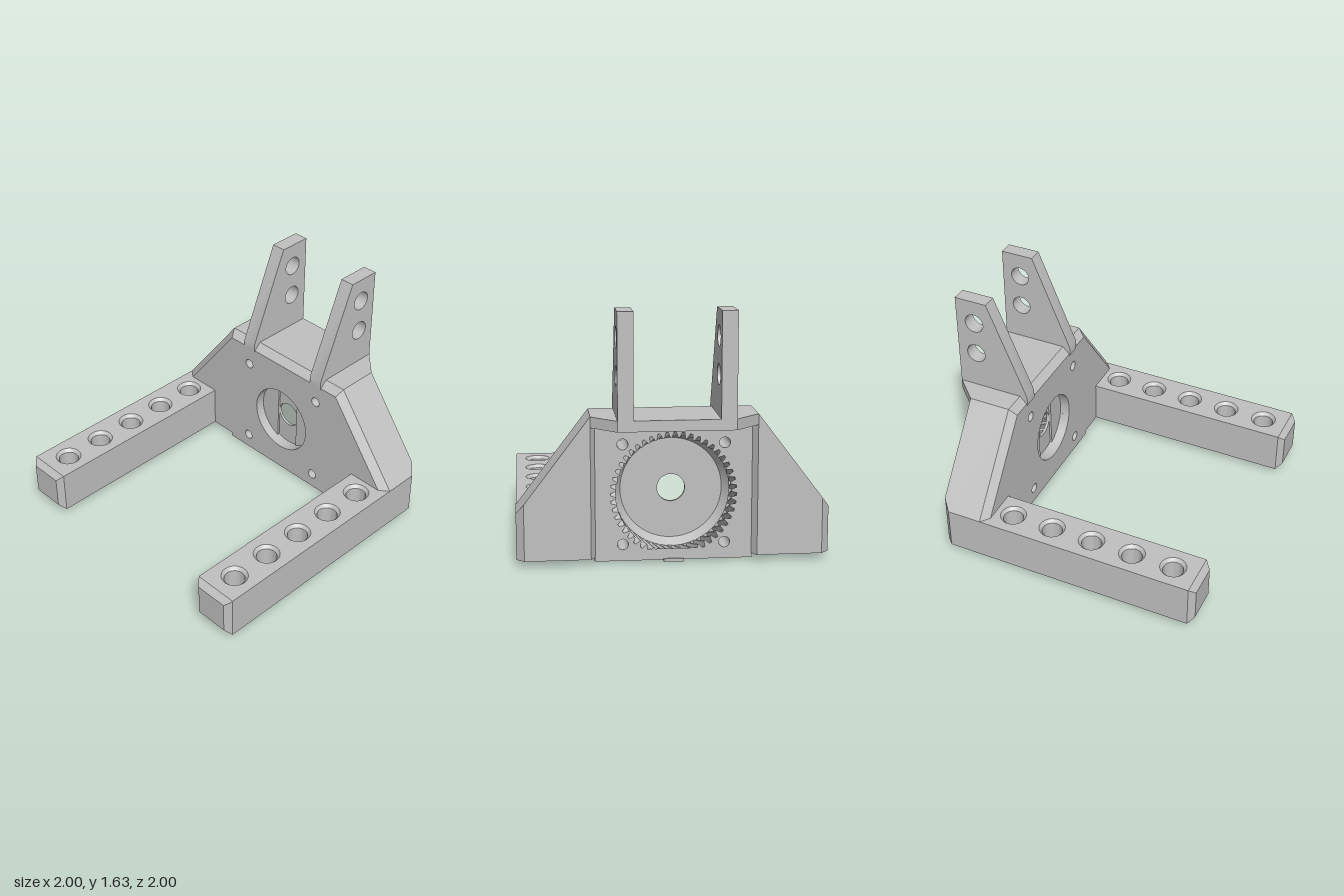
import * as THREE from 'three';
import { toCreasedNormals } from 'three/addons/utils/BufferGeometryUtils.js';
import { ConvexGeometry } from 'three/addons/geometries/ConvexGeometry.js';

const grey = new THREE.MeshStandardMaterial({ color: 0xc0c0c0, side: THREE.DoubleSide });
grey.name = 'grey plastic';

const HUB_Y = 0.44;          // height of the gear axis
const BACK = -0.79;          // recessed rear panel
const FACE = -0.5;           // front face of the plate

function part(parent, name, geometry) {
  const mesh = new THREE.Mesh(geometry, grey);
  mesh.name = name;
  parent.add(mesh);
  return mesh;
}

const poly = (pts) => new THREE.Shape(pts.map(([x, y]) => new THREE.Vector2(x, y)));

function circle(x, y, r, Type = THREE.Path) {
  const p = new Type();
  p.absarc(x, y, r, 0, Math.PI * 2, false);
  return p;
}

function extrude(shape, depth, steps = 1) {
  return new THREE.ExtrudeGeometry(shape, { depth, steps, bevelEnabled: false, curveSegments: 24 });
}

function lathe(profile, segments = 64) {
  const geo = new THREE.LatheGeometry(profile.map(([r, h]) => new THREE.Vector2(r, h)), segments);
  return toCreasedNormals(geo, 0.4);
}

function box(parent, name, x0, x1, y0, y1, z0, z1) {
  const geo = new THREE.BoxGeometry(x1 - x0, y1 - y0, z1 - z0);
  geo.translate((x0 + x1) / 2, (y0 + y1) / 2, (z0 + z1) / 2);
  return part(parent, name, geo);
}

const hull = (pts) => new ConvexGeometry(pts.map((p) => new THREE.Vector3(...p)));

// Trapezoid outlines, listed from lower right to lower left
const mirrorOutline = (half) => [...half, ...half.slice().reverse().map(([x, y]) => [-x, y])];
const outer = mirrorOutline([[1, 0.04], [1, 0.34], [0.53, 0.96]]);
const inner = mirrorOutline([[0.937, 0.04], [0.937, 0.34], [0.505, 0.91]]);

function plateShape(outline, holeRadius) {
  const shape = poly(outline);
  shape.holes.push(circle(0, HUB_Y, holeRadius));
  for (const x of [-0.325, 0.325])
    for (const y of [0.12, 0.77]) shape.holes.push(circle(x, y, 0.035));
  return shape;
}

function buildPlate(g) {
  const core = extrude(plateShape(outer, 0.41), -0.55 - BACK);
  core.translate(0, 0, BACK);
  part(g, 'plate', toCreasedNormals(core, 0.5));

  const front = extrude(plateShape(inner, 0.245), FACE + 0.55);
  front.translate(0, 0, -0.55);
  part(g, 'plateFront', toCreasedNormals(front, 0.5));

  // Sloping bevel round the front edge
  const pos = [];
  for (let i = 0; i < outer.length - 1; i++) {
    const a = [...outer[i], -0.55], b = [...outer[i + 1], -0.55];
    const c = [...inner[i + 1], FACE], d = [...inner[i], FACE];
    pos.push(...a, ...b, ...c, ...a, ...c, ...d);
  }
  const bevel = new THREE.BufferGeometry();
  bevel.setAttribute('position', new THREE.Float32BufferAttribute(pos, 3));
  bevel.computeVertexNormals();
  part(g, 'frontBevel', bevel);

  // Raised rear wings either side of the gear panel
  for (const s of [1, -1]) {
    part(g, s > 0 ? 'leftWing' : 'rightWing', hull([
      [0.5, 0.04, BACK], [1, 0.04, BACK], [1, 0.34, BACK], [0.53, 0.96, BACK], [0.5, 0.96, BACK],
      [0.53, 0.04, -0.84], [0.95, 0.04, -0.84], [0.95, 0.406, -0.84], [0.53, 0.96, -0.84],
    ].map(([x, y, z]) => [s * x, y, z])));
  }

  // Overhanging ledge at the top of the back
  const ledge = extrude(poly([[-0.53, -BACK], [0.53, -BACK], [0.53, 0.84], [0.37, 1], [-0.37, 1], [-0.53, 0.84]]), 0.07);
  ledge.rotateX(-Math.PI / 2);
  ledge.translate(0, 0.89, 0);
  part(g, 'rearLedge', ledge);

  box(g, 'basePad', -0.505, 0.505, 0.012, 0.045, BACK, FACE);
  box(g, 'baseTab', -0.065, 0.065, 0, 0.02, -0.8, -0.67);
}

function buildHub(g) {
  // Ring of internal helical teeth
  const teeth = 48, tip = 0.368, root = 0.403;
  const ring = circle(0, 0, 0.41, THREE.Shape);
  const pts = [];
  for (let i = 0; i < teeth; i++)
    for (const [f, r] of [[0, root], [0.3, root], [0.55, tip], [0.75, tip]]) {
      const a = ((i + f) / teeth) * Math.PI * 2;
      pts.push(new THREE.Vector2(r * Math.cos(a), r * Math.sin(a)));
    }
  ring.holes.push(new THREE.Path(pts));
  const depth = 0.12;
  const gear = extrude(ring, depth, 4);
  const p = gear.attributes.position;
  for (let i = 0; i < p.count; i++) {
    const t = 0.16 * (p.getZ(i) / depth), x = p.getX(i), y = p.getY(i);
    p.setXY(i, x * Math.cos(t) - y * Math.sin(t), x * Math.sin(t) + y * Math.cos(t));
  }
  gear.computeVertexNormals();
  gear.translate(0, HUB_Y, BACK);
  part(g, 'gearRing', gear);

  // Gear cavity, bore and front counterbore turned as one profile
  const bore = lathe([[0.41, -0.67], [0.37, -0.67], [0.33, -0.605], [0.09, -0.605],
    [0.09, -0.585], [0.245, -0.585], [0.245, -0.55]]);
  bore.rotateX(Math.PI / 2);
  bore.translate(0, HUB_Y, 0);
  part(g, 'hubBore', bore);

  // Steps either side of a shallow slot in the counterbore floor
  const a = Math.acos(0.09 / 0.245);
  for (const turn of [0, Math.PI]) {
    const segment = new THREE.Shape();
    segment.absarc(0, 0, 0.245, turn - a, turn + a, false);
    const step = extrude(segment, 0.015);
    step.translate(0, HUB_Y, -0.585);
    part(g, 'counterboreStep', step);
  }
}

function buildArm(g, side) {
  const arm = new THREE.Group();
  arm.name = side > 0 ? 'leftArm' : 'rightArm';
  arm.position.set(side * 0.845, 0.04, 0);
  g.add(arm);
  const w = 0.155, h = 0.3, c = 0.04;
  const holes = [-0.375, -0.083, 0.208, 0.5, 0.792];
  const shape = poly([[-w, -0.96], [w, -0.96], [w, 0.6], [-w, 0.6]]);
  for (const z of holes) shape.holes.push(circle(0, -z, 0.088));
  const beam = extrude(shape, h);
  beam.rotateX(-Math.PI / 2);
  part(arm, 'beam', toCreasedNormals(beam, 0.5));

  // Countersunk hole liners
  for (const z of holes)
    part(arm, 'holeLiner', lathe([[0.088, 0], [0.068, 0.022], [0.068, h - 0.022], [0.088, h]], 48)).position.z = z;

  // Bevelled end
  const end = [];
  for (const s of [-1, 1])
    for (const [y, yc] of [[0, c], [h, h - c]]) end.push([s * w, y, 0.96], [s * (w - c), yc, 1]);
  part(arm, 'beamEnd', hull(end));
}

function buildFin(g, side) {
  const shape = poly([[-1, 0.9], [-0.495, 0.9], [-0.495, 0.965], [-0.77, 1.63], [-1, 1.63]]);
  for (const y of [1.22, 1.46]) shape.holes.push(circle(-0.868, y, 0.067));
  const fin = extrude(shape, 0.1);
  fin.rotateY(-Math.PI / 2);
  fin.translate(side > 0 ? 0.37 : -0.27, 0, 0);
  part(g, side > 0 ? 'leftFin' : 'rightFin', toCreasedNormals(fin, 0.4));
}

export function createModel() {
  const g = new THREE.Group();
  g.name = 'gearBracket';
  buildPlate(g);
  buildHub(g);
  for (const side of [1, -1]) {
    buildArm(g, side);
    buildFin(g, side);
  }
  return g;
}
